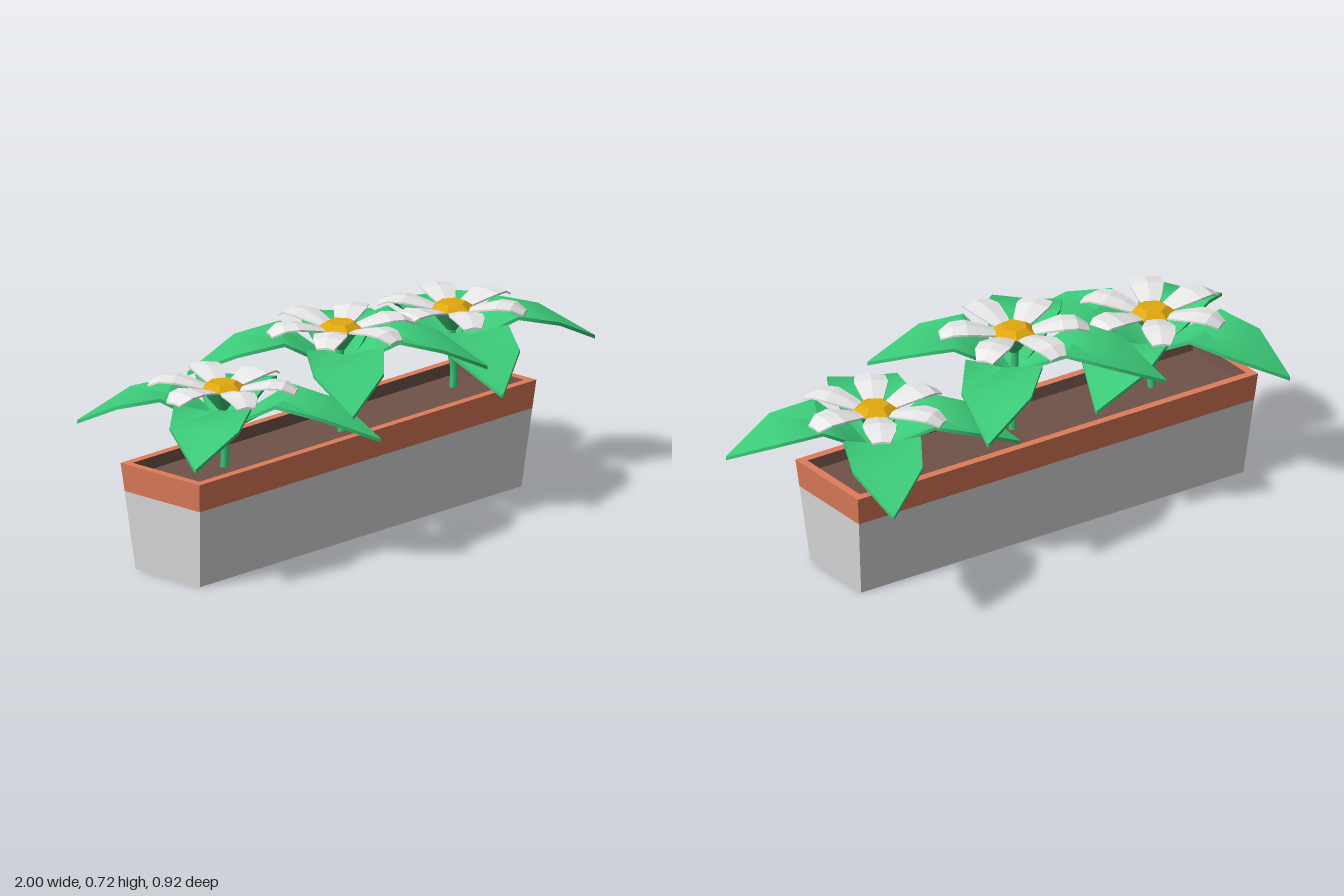
import * as THREE from 'three';
import { toCreasedNormals } from 'three/addons/utils/BufferGeometryUtils.js';

const mat = (name, color) => {
  const m = new THREE.MeshStandardMaterial({ color });
  m.name = name;
  return m;
};

// Skin a list of equal-length closed rings; rings run anticlockwise seen from the far end.
function loft(rings, capStart, capEnd) {
  const pos = [];
  const tri = (a, b, c) => pos.push(...a, ...b, ...c);
  const n = rings[0].length;
  for (let i = 0; i < rings.length - 1; i++) {
    for (let j = 0; j < n; j++) {
      const k = (j + 1) % n;
      const a = rings[i][j], b = rings[i][k], c = rings[i + 1][k], d = rings[i + 1][j];
      tri(a, b, c);
      tri(a, c, d);
    }
  }
  const first = rings[0], last = rings[rings.length - 1];
  for (let j = 1; j < n - 1; j++) {
    if (capStart) tri(first[0], first[j + 1], first[j]);
    if (capEnd) tri(last[0], last[j], last[j + 1]);
  }
  const g = new THREE.BufferGeometry();
  g.setAttribute('position', new THREE.Float32BufferAttribute(pos, 3));
  g.computeVertexNormals();
  return g;
}

const rect = (w, d, y) => [[w / 2, y, d / 2], [w / 2, y, -d / 2], [-w / 2, y, -d / 2], [-w / 2, y, d / 2]];

// Thin leaf or petal along +x; each row is [distance, half width, middle height, edge height].
const blade = (rows, t) => loft(rows.map(([r, w, m, e]) => [
  [r, e, -w], [r, m, 0], [r, e, w], [r, e - t, w], [r, m - t, 0], [r, e - t, -w],
]), true, true);

const flat = (g) => {
  const f = g.index ? g.toNonIndexed() : g;
  f.computeVertexNormals();
  return f;
};

export function createModel() {
  const model = new THREE.Group();
  const body = mat('pale grey', 0xdcdcdc);
  const clay = mat('terracotta', 0xde7b5a);
  const earth = mat('soil brown', 0x70524a);
  const green = mat('leaf green', 0x3ccb79);
  const white = mat('petal white', 0xe8e8e8);
  const yellow = mat('yellow', 0xe0a810);

  const add = (parent, name, geometry, material) => {
    const m = new THREE.Mesh(geometry, material);
    m.name = name;
    parent.add(m);
    return m;
  };

  // Tapered trough, turned slightly
  const planter = new THREE.Group();
  planter.name = 'planter';
  planter.position.x = -0.088;
  planter.rotation.y = -0.035;
  model.add(planter);
  const seam = rect(1.603, 0.345, 0.272);
  const innerTop = rect(1.565, 0.305, 0.37);
  add(planter, 'trough', loft([rect(1.55, 0.296, 0), seam], true, false), body);
  add(planter, 'rim', loft([seam, rect(1.623, 0.363, 0.37), innerTop], false, false), clay);
  add(planter, 'soil', loft([innerTop, rect(1.555, 0.295, 0.33)], false, true), earth);

  // Shared plant shapes
  const leafGeo = toCreasedNormals(blade([
    [0.01, 0.015, 0.455, 0.46], [0.08, 0.075, 0.505, 0.525], [0.19, 0.13, 0.575, 0.595],
    [0.34, 0.117, 0.55, 0.556], [0.5, 0.003, 0.462, 0.462],
  ], 0.012), 0.8);
  const petalGeo = blade([
    [0.05, 0.026, 0.607, 0.605], [0.1, 0.042, 0.624, 0.618], [0.16, 0.057, 0.639, 0.631],
    [0.21, 0.051, 0.637, 0.629], [0.25, 0.03, 0.613, 0.608],
  ], 0.006);
  const centreGeo = flat(new THREE.LatheGeometry(
    [[0.05, 0.59], [0.076, 0.607], [0.046, 0.628], [0, 0.628]].map(([x, y]) => new THREE.Vector2(x, y)), 6));
  const calyxGeo = flat(new THREE.CylinderGeometry(0.075, 0.018, 0.07, 6));

  // Plants: position, lift, petal turn, and leaves as [angle in degrees, length scale]
  const plants = [
    { name: 'rightPlant', x: -0.605, z: -0.01, lift: 0, turn: 0,
      leaves: [[-120, 0.99], [150, 0.914], [60, 1.07], [-30, 0.96]] },
    { name: 'middlePlant', x: -0.05, z: 0.02, lift: 0.085, turn: 30,
      leaves: [[-135, 1.02], [-44, 1.1], [134, 1.05], [44, 0.98]] },
    { name: 'leftPlant', x: 0.565, z: -0.03, lift: 0, turn: -2,
      leaves: [[-60, 1.01], [30, 1], [120, 1.06], [210, 0.97]] },
  ];
  for (const p of plants) {
    const plant = new THREE.Group();
    plant.name = p.name;
    plant.position.set(p.x, p.lift, p.z);
    model.add(plant);

    // Slightly bent stem
    const foot = 0.32 - p.lift;
    const path = new THREE.CatmullRomCurve3([
      new THREE.Vector3(0.005, foot, 0), new THREE.Vector3(0.006, (foot + 0.46) / 2, 0.004),
      new THREE.Vector3(-0.004, 0.46, 0), new THREE.Vector3(0, 0.57, 0),
    ]);
    add(plant, 'stem', new THREE.TubeGeometry(path, 6, 0.014, 6), green);
    add(plant, 'calyx', calyxGeo, green).position.y = 0.568;

    for (const [angle, size] of p.leaves) {
      const leaf = add(plant, 'leaf', leafGeo, green);
      leaf.rotation.y = -THREE.MathUtils.degToRad(angle);
      leaf.scale.x = size;
    }

    // Flower head
    const flower = new THREE.Group();
    flower.name = 'flower';
    flower.rotation.y = THREE.MathUtils.degToRad(p.turn);
    plant.add(flower);
    add(flower, 'flowerCentre', centreGeo, yellow);
    for (let i = 0; i < 6; i++) {
      add(flower, 'petal', petalGeo, white).rotation.y = (i * Math.PI) / 3;
    }
  }
  return model;
}
